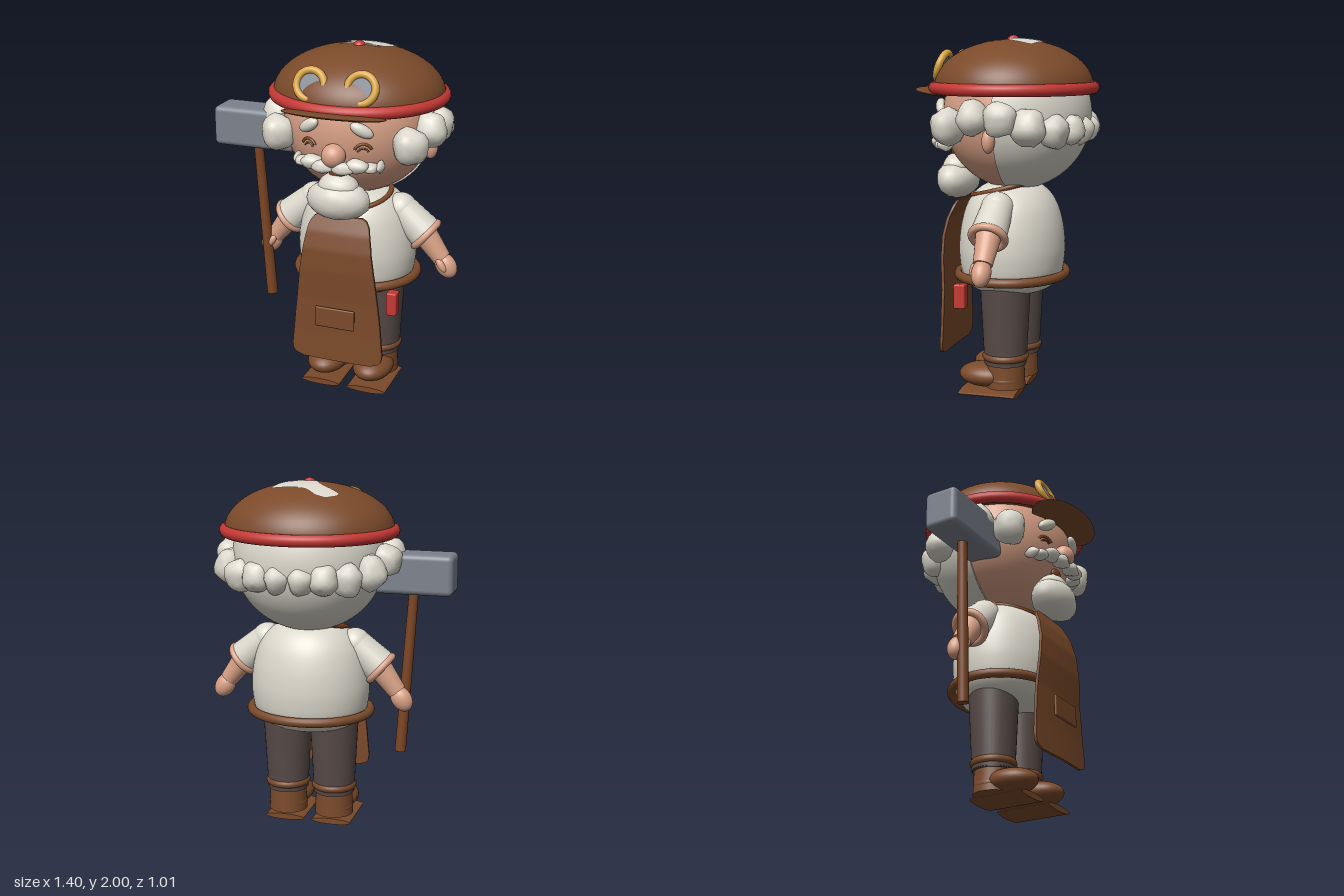
import * as THREE from 'three';
import { mergeVertices } from 'three/addons/utils/BufferGeometryUtils.js';
import { RoundedBoxGeometry } from 'three/addons/geometries/RoundedBoxGeometry.js';

const material = (name, color) => {
  const m = new THREE.MeshStandardMaterial({ color });
  m.name = name;
  return m;
};

export function createModel() {
  const model = new THREE.Group();
  const CX = 0.11; // the figure's own middle; the hammer sticks out to its right
  const white = material('off white', 0xdbd7cb);
  const brown = material('leather brown', 0x7b4a2a);
  const skin = material('skin', 0xd9a186);
  const red = material('red', 0xc43835);
  const gold = material('gold', 0xd9a441);
  const steel = material('steel grey', 0x7c828d);
  const trousers = material('dark trousers', 0x574a47);
  const wood = material('wood', 0x7c4523);

  const add = (name, geo, mat, x = 0, y = 0, z = 0, rx = 0, ry = 0, rz = 0) => {
    const mesh = new THREE.Mesh(geo, mat);
    mesh.name = name;
    mesh.position.set(x, y, z);
    mesh.rotation.set(rx, ry, rz);
    model.add(mesh);
    return mesh;
  };
  const ball = (name, mat, x, y, z, a, b, c, rx = 0, ry = 0, rz = 0) => {
    const mesh = add(name, new THREE.SphereGeometry(1, 32, 20), mat, x, y, z, rx, ry, rz);
    mesh.scale.set(a, b, c);
    return mesh;
  };
  // Uneven rounded tuft
  let seed = 1;
  const lump = (name, x, y, z, a, b, c, rough = 0.05) => {
    let geo = new THREE.IcosahedronGeometry(1, 2);
    geo.deleteAttribute('normal');
    geo.deleteAttribute('uv');
    geo = mergeVertices(geo, 1e-4);
    const p = geo.attributes.position, v = new THREE.Vector3();
    seed += 1.7;
    for (let i = 0; i < p.count; i++) {
      v.fromBufferAttribute(p, i);
      const s = Math.sin(v.x * 5 + seed) + Math.sin(v.y * 6 + seed * 2) + Math.sin(v.z * 5 + seed * 3);
      v.multiplyScalar(1 + rough * s);
      p.setXYZ(i, v.x * a, v.y * b, v.z * c);
    }
    geo.computeVertexNormals();
    return add(name, geo, white, x, y, z);
  };
  // Round bar between two points
  const bar = (name, mat, from, to, r0, r1) => {
    const a = new THREE.Vector3(...from), b = new THREE.Vector3(...to);
    const mesh = add(name, new THREE.CylinderGeometry(r1, r0, a.distanceTo(b), 24), mat);
    mesh.position.copy(a).lerp(b, 0.5);
    mesh.quaternion.setFromUnitVectors(new THREE.Vector3(0, 1, 0), b.sub(a).normalize());
    return mesh;
  };
  const points = (list) => list.map(([x, y]) => new THREE.Vector2(x, y));
  const flatRing = (name, mat, R, tube, y, z, squash, x = CX) => {
    const mesh = add(name, new THREE.TorusGeometry(R, tube, 14, 64), mat, x, y, z, Math.PI / 2);
    mesh.scale.y = squash;
    return mesh;
  };

  // Head, and the hair shell over its back half
  const shell = (name, mat, a, b, c, start, length) => {
    const geo = new THREE.SphereGeometry(1, 48, 32, start, length, 1.1, Math.PI - 1.1);
    add(name, geo, mat, CX, 1.57, -0.04).scale.set(a, b, c);
  };
  shell('head', skin, 0.42, 0.41, 0.39, 0, Math.PI * 2);
  shell('hairBack', white, 0.43, 0.42, 0.43, Math.PI, Math.PI);
  add('hairEdge', new THREE.RingGeometry(0.9, 1, 48), white, CX, 1.57, -0.04).scale.set(0.43, 0.42, 1);

  // Curls around the head, ears and face, mirrored
  const curls = [[0.375, 1.52, 0.22, 0.096], [0.44, 1.57, 0.06, 0.09], [0.445, 1.57, -0.09, 0.088],
    [0.4, 1.52, -0.23, 0.092], [0.3, 1.5, -0.34, 0.085], [0.185, 1.5, -0.41, 0.078], [0.065, 1.5, -0.43, 0.075]];
  const tufts = [[0.055, 1.405, 0.37, 0.066, 0.036], [0.125, 1.42, 0.35, 0.065, 0.04],
    [0.19, 1.405, 0.31, 0.045, 0.028], [0.235, 1.408, 0.28, 0.022, 0.032]];
  for (const s of [1, -1]) {
    for (const [x, y, z, r] of curls) lump('hairCurl', CX + s * x, y, z, r, r * 1.08, r);
    for (const [x, y, z, a, b] of tufts) lump('moustache', CX + s * x, y, z, a, b, 0.045);
    ball('ear', skin, CX + s * 0.42, 1.45, -0.02, 0.04, 0.065, 0.035);
    ball('eyebrow', white, CX + s * 0.148, 1.613, 0.335, 0.068, 0.033, 0.03, 0, s * 0.35, -s * 0.5);
    add('closedEye', new THREE.TorusGeometry(0.05, 0.008, 8, 20, Math.PI * 0.7), brown,
      CX + s * 0.153, 1.485, 0.322, 0, s * 0.4, Math.PI * 0.15);
    add('eyeCrease', new THREE.TorusGeometry(0.032, 0.005, 8, 16, Math.PI * 0.7), brown,
      CX + s * 0.153, 1.48, 0.324, 0, s * 0.4, Math.PI * 0.15);
  }
  ball('nose', skin, CX, 1.465, 0.36, 0.066, 0.066, 0.062);
  ball('mouth', wood, CX, 1.36, 0.305, 0.048, 0.035, 0.02);
  lump('beard', CX, 1.2, 0.29, 0.18, 0.112, 0.118, 0.015);
  lump('beardTop', CX, 1.275, 0.285, 0.115, 0.075, 0.09, 0.02);

  // Cap: dome, rim, visor, button
  const CAP = { y: 1.715, z: -0.04, a: 0.478, h: 0.265, c: 0.438 };
  const arc = [new THREE.Vector2(0, 0)];
  for (let i = 0; i <= 24; i++) {
    const t = (i / 24) * Math.PI / 2;
    arc.push(new THREE.Vector2(i === 24 ? 0 : Math.cos(t), Math.sin(t)));
  }
  add('capDome', new THREE.LatheGeometry(arc, 72), brown, CX, CAP.y, CAP.z).scale.set(CAP.a, CAP.h, CAP.c);
  flatRing('capRim', red, 0.472, 0.033, CAP.y, CAP.z, 0.93);
  ball('capVisor', brown, CX, 1.688, 0.365, 0.29, 0.018, 0.14, -0.16);
  ball('capButton', red, CX, 1.965, -0.035, 0.036, 0.036, 0.036);

  // Pale patch lying on the dome, built in rings around a centre
  const outline = [[-0.1, -0.23], [-0.05, -0.28], [0.01, -0.275], [0.085, -0.218], [0.17, -0.207], [0.285, -0.184],
    [0.275, -0.11], [0.245, -0.05], [0.15, -0.03], [0.06, -0.048], [0.04, -0.094], [-0.005, -0.143], [-0.1, -0.2]];
  const rim = new THREE.CatmullRomCurve3(outline.map(([x, z]) => new THREE.Vector3(x, 0, z)), true, 'catmullrom', 0.2).getPoints(48);
  const centre = new THREE.Vector3(0.115, 0, -0.139), RINGS = 8, N = 48;
  const pos = [], index = [];
  for (let r = 0; r <= RINGS; r++) for (let i = 0; i < N; i++) {
    const p = centre.clone().lerp(rim[i], r / RINGS);
    const k = 1 - ((p.x - CX) / CAP.a) ** 2 - ((p.z - CAP.z) / CAP.c) ** 2;
    pos.push(p.x, CAP.y + CAP.h * Math.sqrt(k) + 0.005, p.z);
    if (r === RINGS) continue;
    const a = r * N + i, b = r * N + (i + 1) % N;
    index.push(a, b, a + N, b, b + N, a + N);
  }
  const patch = new THREE.BufferGeometry();
  patch.setAttribute('position', new THREE.Float32BufferAttribute(pos, 3));
  patch.setIndex(index);
  patch.computeVertexNormals();
  add('capPatch', patch, white);

  // Goggles half sunk into the cap
  for (const s of [1, -1]) {
    add('goggleFrame', new THREE.TorusGeometry(0.077, 0.021, 14, 40), gold, CX + s * 0.141, 1.83, 0.325, -0.35);
    add('goggleLens', new THREE.CylinderGeometry(0.075, 0.075, 0.012, 32), steel, CX + s * 0.141, 1.83, 0.325, Math.PI / 2 - 0.35);
  }

  // Shirt and belt
  const body = new THREE.SplineCurve(points([[0, 0.565], [0.15, 0.575], [0.26, 0.61], [0.32, 0.68], [0.34, 0.78],
    [0.34, 0.87], [0.325, 0.97], [0.29, 1.07], [0.23, 1.145], [0.15, 1.185], [0, 1.195]])).getPoints(50);
  body[0].x = body[50].x = 0;
  add('shirt', new THREE.LatheGeometry(body, 64), white, CX, 0, -0.03).scale.z = 0.86;
  flatRing('belt', brown, 0.345, 0.026, 0.68, -0.03, 0.87);
  add('pouch', new RoundedBoxGeometry(0.06, 0.135, 0.066, 2, 0.008), red, 0.395, 0.585, 0.185);

  // Apron: a box bent along a side profile and shaped by half widths
  const sample = (table, y) => {
    const i = Math.max(1, table.findIndex((row) => row[0] <= y + 1e-6));
    const [y0, v0] = table[i - 1], [y1, v1] = table[i];
    return THREE.MathUtils.lerp(v0, v1, (y - y0) / (y1 - y0));
  };
  const halfWidth = [[1.09, 0.13], [1.075, 0.155], [1.04, 0.175], [0.95, 0.192], [0.76, 0.22], [0.5, 0.25],
    [0.3, 0.268], [0.265, 0.262], [0.245, 0.24], [0.235, 0.2]];
  const depth = [[1.09, 0.245], [1.0, 0.285], [0.9, 0.308], [0.78, 0.312], [0.6, 0.302], [0.4, 0.304], [0.235, 0.31]];
  const apron = new THREE.BoxGeometry(1, 1, 1, 8, 60, 1);
  const ap = apron.attributes.position;
  for (let i = 0; i < ap.count; i++) {
    const y = 0.235 + (ap.getY(i) + 0.5) * 0.855;
    const x = ap.getX(i) * 2 * sample(halfWidth, y);
    ap.setXYZ(i, x, y, sample(depth, y) - 0.15 * x * x + 0.008 + ap.getZ(i) * 0.016);
  }
  apron.computeVertexNormals();
  add('apron', apron, brown, CX);
  add('apronPocket', new RoundedBoxGeometry(0.23, 0.12, 0.016, 3, 0.007), brown, CX, 0.51, 0.343);
  flatRing('apronStrap', wood, 0.2, 0.014, 1.165, 0, 1).rotation.x += 0.25;

  // Arms, legs and boots, mirrored
  for (const s of [1, -1]) {
    const x = (d) => CX + s * d;
    bar('sleeve', white, [x(0.26), 1.075, -0.02], [x(0.41), 0.945, -0.015], 0.088, 0.1);
    ball('shoulder', white, x(0.26), 1.075, -0.02, 0.09, 0.09, 0.09);
    const cuff = add('sleeveCuff', new THREE.TorusGeometry(0.09, 0.021, 14, 36), skin, x(0.41), 0.94, -0.015);
    cuff.lookAt(x(0.56), 0.81, -0.015);
    bar('forearm', skin, [x(0.39), 0.96, -0.015], [x(0.505), 0.81, -0.015], 0.072, 0.052);
    ball('hand', skin, x(0.53), 0.77, -0.015, 0.058, 0.078, 0.052, 0, 0, s * 0.6);
    ball('thumb', skin, x(0.515), 0.785, 0.03, 0.022, 0.045, 0.022, 0, 0, s * 0.6);

    const lx = x(0.14);
    add('trouserLeg', new THREE.CylinderGeometry(0.142, 0.118, 0.46, 36), trousers, lx, 0.42, -0.03);
    add('trouserHem', new THREE.CylinderGeometry(0.115, 0.115, 0.03, 36), trousers, lx, 0.2, -0.03);
    flatRing('bootCuff', brown, 0.106, 0.024, 0.23, -0.03, 1, lx);
    add('bootShaft', new THREE.CylinderGeometry(0.106, 0.112, 0.14, 36), brown, lx, 0.125, -0.03);
    ball('bootToe', brown, lx, 0.115, 0.08, 0.115, 0.07, 0.157);
    ball('bootHeel', brown, lx, 0.1, -0.03, 0.112, 0.055, 0.11);
    add('bootSole', new THREE.CylinderGeometry(0.116, 0.116, 0.325, 36), brown, lx, 0.019, 0.052, Math.PI / 2).scale.z = 0.15;
  }

  // Hammer held in the right hand
  add('hammerHead', new RoundedBoxGeometry(0.49, 0.225, 0.2, 4, 0.03), steel, -0.455, 1.487, 0.04);
  bar('hammerHandle', wood, [-0.411, 0.45, 0.02], [-0.472, 1.42, 0.04], 0.032, 0.027);

  return model;
}
